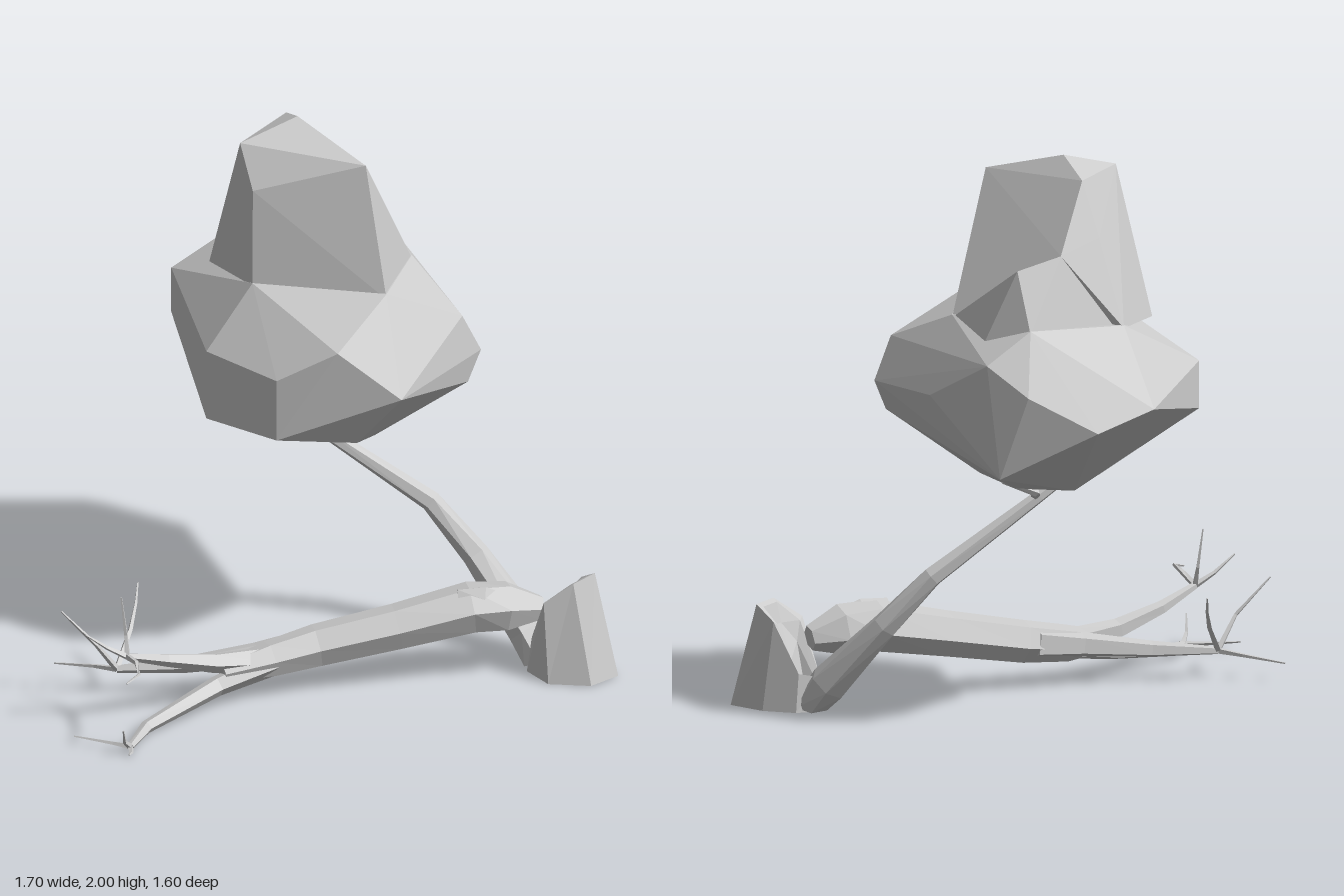
import * as THREE from 'three';
import { ConvexGeometry } from 'three/addons/geometries/ConvexGeometry.js';

const V = (p) => new THREE.Vector3(...p);

function part(name, geometry) {
  const mesh = new THREE.Mesh(geometry,
    new THREE.MeshStandardMaterial({ color: 0xcccccc, flatShading: true }));
  mesh.name = name;
  return mesh;
}

// Faceted closed solid through a list of equally sized loops of points.
function loft(name, rings) {
  const tris = [];
  const n = rings[0].length;
  for (let i = 0; i < rings.length - 1; i++) {
    for (let j = 0; j < n; j++) {
      const k = (j + 1) % n;
      const [a, b, c, d] = [rings[i][j], rings[i][k], rings[i + 1][k], rings[i + 1][j]];
      tris.push([a, b, c], [a, c, d]);
    }
  }
  const cap = (ring, flip) => {
    const mid = ring.reduce((s, p) => s.add(p), new THREE.Vector3()).divideScalar(n);
    for (let j = 0; j < n; j++) {
      const k = (j + 1) % n;
      tris.push(flip ? [ring[k], ring[j], mid] : [ring[j], ring[k], mid]);
    }
  };
  cap(rings[0], true);
  cap(rings[rings.length - 1], false);

  // Turn the faces outwards whichever way the loops run.
  const volume = tris.reduce((s, [a, b, c]) => s + a.dot(b.clone().cross(c)), 0);
  const points = tris.flatMap((t) => (volume < 0 ? [t[0], t[2], t[1]] : t));
  const geometry = new THREE.BufferGeometry().setFromPoints(points);
  geometry.computeVertexNormals();
  return part(name, geometry);
}

// Tapered limb; each path entry is x, y, z, radius.
function limb(name, path, sides = 6) {
  const pts = path.map((p) => V(p.slice(0, 3)));
  const rings = pts.map((p, i) => {
    const dir = pts[Math.min(i + 1, pts.length - 1)].clone()
      .sub(pts[Math.max(i - 1, 0)]).normalize();
    const side = new THREE.Vector3(0.35, 0.3, -0.9).cross(dir);
    if (side.length() < 0.3) side.set(0, 1, 0).cross(dir);
    side.normalize();
    const up = dir.clone().cross(side);
    return Array.from({ length: sides }, (_, j) => {
      const a = (j / sides) * Math.PI * 2;
      const q = p.clone().addScaledVector(side, Math.cos(a) * path[i][3])
        .addScaledVector(up, Math.sin(a) * path[i][3]);
      q.y = Math.max(q.y, 0);
      return q;
    });
  });
  return loft(name, rings);
}

// Canopy: three overlapping faceted lumps, each spanned by its corners.
function foliage() {
  const lumps = {
    lowerLump: [
      [0.35, 0.84, 0], [0.42, 0.83, -0.4], [0.52, 0.84, -0.22], // underside
      [-0.1, 0.97, -0.4], [-0.1, 0.97, -0.1], [0.13, 0.92, 0.08], [0.85, 0.95, -0.32],
      [-0.1, 1.23, -0.4], [-0.1, 1.2, -0.1], [0, 1.32, 0.09], // right
      [0.13, 1.14, 0.27], [0.5, 1.07, 0.29], [0.55, 1.18, 0.31], [0.48, 1.33, 0.28], // front
      [0.75, 1.2, 0], [0.85, 1.35, -0.27], [0.85, 1.25, -0.43], [0.77, 1.13, -0.66], // left
      [0.61, 1.2, -0.8], [0.25, 1.3, -0.8], [0.25, 1.13, -0.8], // back
      [0.05, 1.46, -0.31], [0.25, 1.46, 0.12], [0.57, 1.45, 0], // shoulders
      [0.73, 1.46, -0.38], [0.5, 1.46, -0.63],
    ],
    upperLump: [
      [0.32, 2, -0.31], [0.13, 1.94, -0.42], [0.28, 1.915, 0.01], [0.42, 1.94, -0.43],
      [0.08, 1.8, -0.33], [0.29, 1.65, 0.06], [0.57, 1.7, -0.42], [0.45, 1.75, -0.51],
      [0.05, 1.45, -0.31], [0.17, 1.42, -0.58], [0.25, 1.44, 0.12], [0.57, 1.44, 0],
      [0.5, 1.45, -0.63],
    ],
    sideLump: [
      [0.57, 1.7, -0.42], [0.69, 1.66, -0.31], [0.73, 1.45, -0.38], [0.73, 1.4, -0.2],
      [0.57, 1.44, 0], [0.5, 1.45, -0.6],
    ],
  };
  const group = new THREE.Group();
  group.name = 'foliage';
  for (const [name, corners] of Object.entries(lumps)) {
    group.add(part(name, new ConvexGeometry(corners.map(V))));
  }
  return group;
}

// Hollow stump with a rim that slopes down to the back.
function stump() {
  const base = [[0.565, 0.77], [0.685, 0.8], [0.72, 0.66], [0.7, 0.54],
    [0.63, 0.47], [0.53, 0.52], [0.49, 0.64]];
  const rim = [[0.57, 0.69], [0.685, 0.7], [0.715, 0.62], [0.7, 0.53],
    [0.63, 0.48], [0.56, 0.52], [0.505, 0.61]];
  const rimY = (z) => Math.min(0.37, Math.max(0.12, 0.14 + (z - 0.53) * 2));
  const inner = (s, drop) => rim.map(([x, z]) =>
    V([0.62 + (x - 0.62) * s, rimY(z) - drop, 0.6 + (z - 0.6) * s]));
  return loft('stump', [base.map(([x, z]) => V([x, 0, z])), inner(1, 0),
    inner(0.8, 0.01), inner(0.55, 0.08)]);
}

export function createModel() {
  const model = new THREE.Group();
  const add = (...parts) => model.add(...parts);

  add(foliage(), stump());

  // Standing trunk leaning back into the canopy
  add(limb('leaningTrunk', [[0.62, 0, 0.52, 0.072], [0.63, 0.1, 0.45, 0.07],
    [0.63, 0.33, 0.23, 0.048], [0.585, 0.51, 0.07, 0.037],
    [0.37, 0.785, -0.24, 0.023], [0.27, 0.9, -0.37, 0.014]]));
  add(limb('canopyBranch', [[0.38, 0.79, -0.23, 0.018], [0.46, 0.82, -0.27, 0.016],
    [0.58, 0.88, -0.2, 0.012]], 5));

  // Fallen trunk with a splintered end beside the stump
  add(limb('fallenTrunk', [[0.57, 0.24, 0.55, 0.045], [0.48, 0.26, 0.47, 0.09],
    [0.39, 0.265, 0.38, 0.092], [0.2, 0.215, 0.2, 0.082], [0, 0.165, 0, 0.076],
    [-0.14, 0.14, -0.1, 0.065], [-0.3, 0.125, -0.19, 0.035]]));
  add(limb('splinter', [[0.34, 0.32, 0.36, 0.035], [0.4, 0.325, 0.43, 0.032],
    [0.53, 0.27, 0.55, 0.015]], 4));

  // Three forks, each ending in a spray of twigs
  const forks = [
    ['upperFork', [[-0.14, 0.14, -0.1, 0.05], [-0.32, 0.165, -0.21, 0.036],
      [-0.48, 0.215, -0.3, 0.024], [-0.63, 0.27, -0.36, 0.013]],
    [[[-0.61, 0.34, -0.38], [-0.61, 0.48, -0.4]], [[-0.68, 0.31, -0.41], [-0.74, 0.37, -0.46]],
      [[-0.7, 0.3, -0.27], [-0.77, 0.3, -0.21], [-0.83, 0.285, -0.22]]]],
    ['lowerFork', [[-0.14, 0.13, -0.09, 0.05], [-0.33, 0.085, -0.19, 0.037],
      [-0.64, 0.028, -0.27, 0.024], [-0.78, 0.016, -0.24, 0.013]],
    [[[-0.82, 0.05, -0.235], [-0.85, 0.11, -0.22]], [[-0.8, 0.02, -0.3], [-0.85, 0.03, -0.43]],
      [[-0.81, 0.012, -0.215], [-0.83, 0.012, -0.21]]]],
    ['rearFork', [[-0.02, 0.16, -0.04, 0.06], [-0.14, 0.14, -0.16, 0.045],
      [-0.3, 0.11, -0.35, 0.03], [-0.44, 0.095, -0.54, 0.014]],
    [[[-0.33, 0.2, -0.56], [-0.27, 0.27, -0.58], [-0.23, 0.33, -0.6]],
      [[-0.52, 0.21, -0.57], [-0.59, 0.34, -0.67]], [[-0.45, 0.085, -0.63], [-0.48, 0.065, -0.78]]]],
  ];
  for (const [name, path, twigs] of forks) {
    const group = new THREE.Group();
    group.name = name;
    group.add(limb('branch', path, 5));
    const hub = path[path.length - 1].slice(0, 3);
    for (const twig of twigs) {
      const steps = [hub, ...twig];
      group.add(limb('twig', steps.map((p, i) =>
        [...p, 0.012 - (0.009 * i) / (steps.length - 1)]), 4));
    }
    add(group);
  }
  return model;
}
